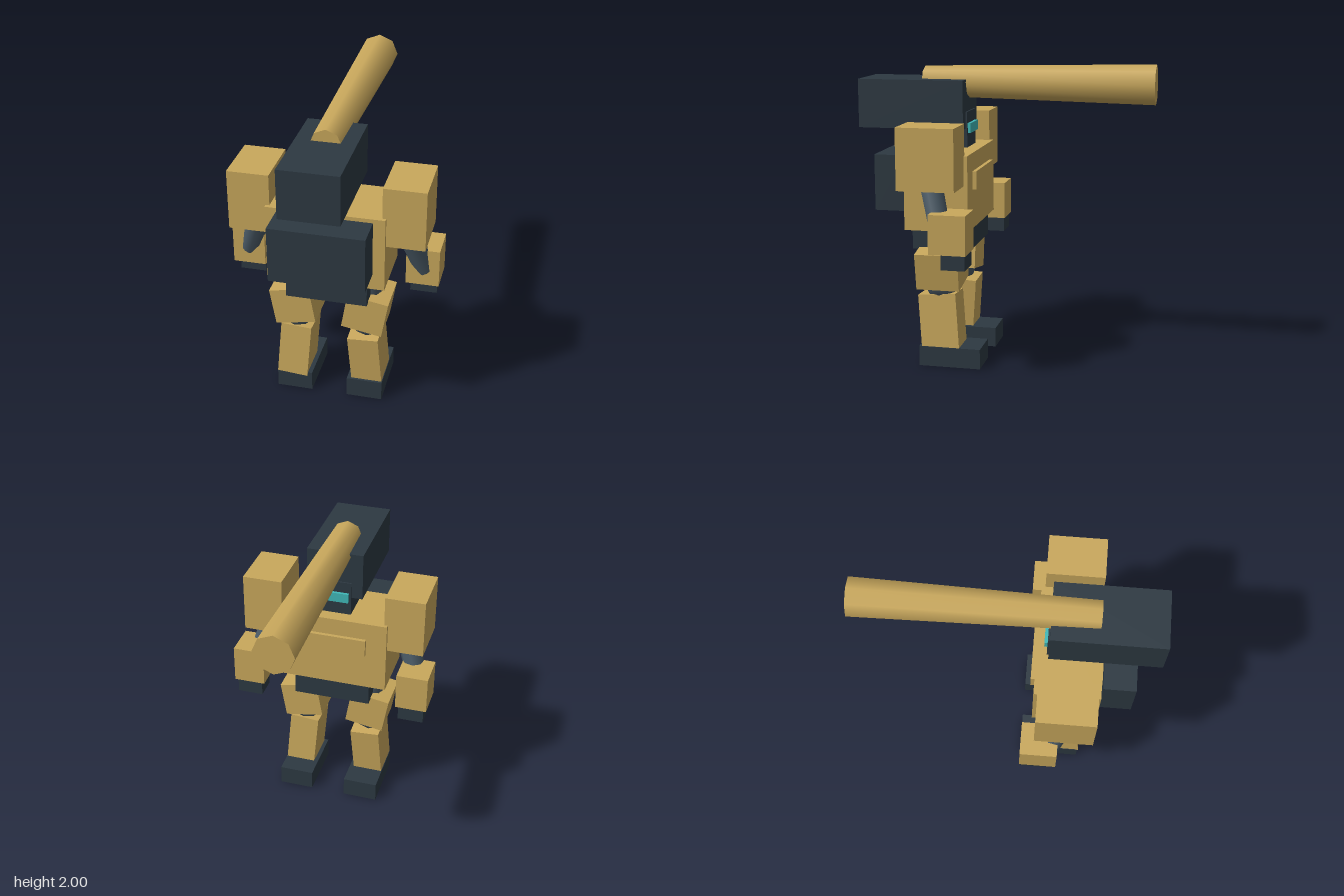
import * as THREE from 'three';

const mat = (color) => new THREE.MeshStandardMaterial({ color });

export function createModel() {
  const model = new THREE.Group();
  const tan = mat(0xc9a85c), dark = mat(0x2d3942), joint = mat(0x4a5a66), cyan = mat(0x40b8b8);

  const add = (name, geometry, material, x, y, z) => {
    const mesh = new THREE.Mesh(geometry, material);
    mesh.name = name;
    mesh.position.set(x, y, z);
    model.add(mesh);
    return mesh;
  };
  // Box given by its limits on each axis
  const box = (name, material, [x0, x1], [y0, y1], [z0, z1]) =>
    add(name, new THREE.BoxGeometry(x1 - x0, y1 - y0, z1 - z0), material,
      (x0 + x1) / 2, (y0 + y1) / 2, (z0 + z1) / 2);
  // Eight-sided rod between two points
  const rod = (name, material, from, to, r0, r1) => {
    const a = new THREE.Vector3(...from), b = new THREE.Vector3(...to);
    const dir = b.clone().sub(a);
    const mid = a.clone().add(b).multiplyScalar(0.5);
    const mesh = add(name, new THREE.CylinderGeometry(r1, r0, dir.length(), 8), material, mid.x, mid.y, mid.z);
    mesh.quaternion.setFromUnitVectors(new THREE.Vector3(0, 1, 0), dir.normalize());
    return mesh;
  };
  // Box limits mirrored to side s
  const side = (s, a, b) => (s > 0 ? [a, b] : [-b, -a]);

  // Body
  box('torso', tan, [-0.38, 0.38], [0.93, 1.43], [0.185, 0.61]);
  box('chestPlate', tan, [-0.24, 0.24], [1.19, 1.31], [0.16, 0.62]);
  box('backpack', dark, [-0.305, 0.305], [1.04, 1.41], [0.62, 0.83]);
  box('pelvis', dark, [-0.265, 0.265], [0.78, 0.93], [0.2, 0.59]);

  // Head and overhead cannon
  box('neck', dark, [-0.07, 0.07], [1.4, 1.46], [0.32, 0.46]);
  box('head', dark, [-0.115, 0.115], [1.445, 1.68], [0.25, 0.53]);
  box('visor', cyan, [-0.1, 0.1], [1.54, 1.605], [0.23, 0.27]);
  box('cannonHousing', dark, [-0.19, 0.19], [1.57, 1.89], [0.26, 0.97]);
  rod('cannonBarrel', tan, [0, 1.87, 0.56], [0, 1.87, -0.97], 0.1, 0.13);

  for (const s of [1, -1]) {
    // Arm
    box('shoulder', tan, side(s, 0.355, 0.625), [1.235, 1.635], [0.21, 0.585]);
    add('shoulderJoint', new THREE.SphereGeometry(0.14, 8, 6), joint, s * 0.42, 1.33, 0.39);
    rod('upperArm', joint, [s * 0.45, 1.34, 0.42], [s * 0.585, 0.945, 0.305], 0.078, 0.07);
    box('forearm', tan, side(s, 0.47, 0.685), [0.85, 1.105], [0.125, 0.365]);
    box('hand', dark, side(s, 0.49, 0.665), [0.75, 0.85], [0.135, 0.29]);

    // Leg, with the two shins swung in opposite directions
    rod('hipJoint', joint, [s * 0.24, 0.6, 0.395], [s * 0.24, 0.89, 0.395], 0.087, 0.087);
    const thigh = add('thigh', new THREE.BoxGeometry(0.27, 0.25, 0.29), tan, s * 0.24, 0.67, 0.4);
    thigh.rotation.z = -s * 0.17;
    add('knee', new THREE.SphereGeometry(0.115, 8, 6), joint, s * 0.24, 0.55, 0.4);
    const shin = add('shin', new THREE.BoxGeometry(0.205, 0.375, 0.255), tan, s * 0.24, 0.297, 0.398);
    shin.rotation.set(s * 0.08, 0, s * 0.07);
    box('foot', dark, side(s, 0.12, 0.358), [0, 0.135], [0.115, 0.53]);
  }
  return model;
}
